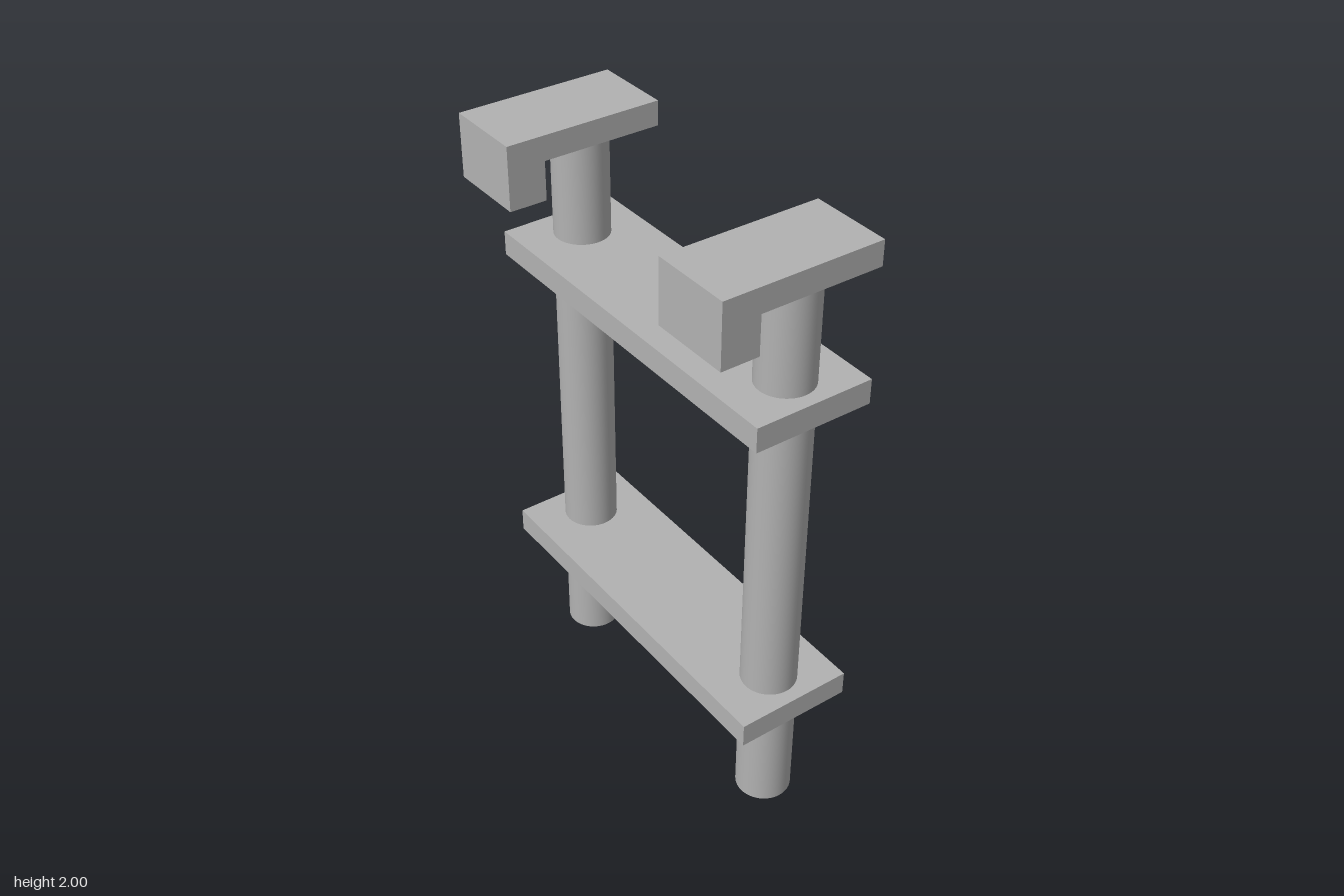
import * as THREE from 'three';

export function createModel() {
  const group = new THREE.Group();
  const grey = new THREE.MeshStandardMaterial({ color: 0xb2b2b2 });
  grey.name = 'plain grey';

  const add = (name, geometry, x, y, z) => {
    const mesh = new THREE.Mesh(geometry, grey);
    mesh.name = name;
    mesh.position.set(x, y, z);
    group.add(mesh);
  };

  // Two flat rungs joining the posts
  const rung = new THREE.BoxGeometry(0.39, 0.08, 1.256);
  add('lowerRung', rung, 0.062, 0.431, 0);
  add('upperRung', rung, 0.062, 1.532, 0);

  // Hook outline: flat arm with a lip hanging down on the -x side
  const hookShape = new THREE.Shape([
    [-0.258, 2], [-0.258, 1.796], [-0.136, 1.796],
    [-0.136, 1.921], [0.257, 1.921], [0.257, 2],
  ].map(([x, y]) => new THREE.Vector2(x, y)));
  const width = 0.264;
  const hook = new THREE.ExtrudeGeometry(hookShape, { depth: width, bevelEnabled: false });
  hook.translate(0, 0, -width / 2);

  // A round post with a hook on top at each end
  const postHeight = 1.921;
  const post = new THREE.CylinderGeometry(0.089, 0.089, postHeight, 48);
  for (const [end, side] of [['front', 1], ['back', -1]]) {
    add(end + 'Post', post, 0.065, postHeight / 2, side * 0.495);
    add(end + 'Hook', hook, 0, 0, side * 0.496);
  }

  return group;
}
